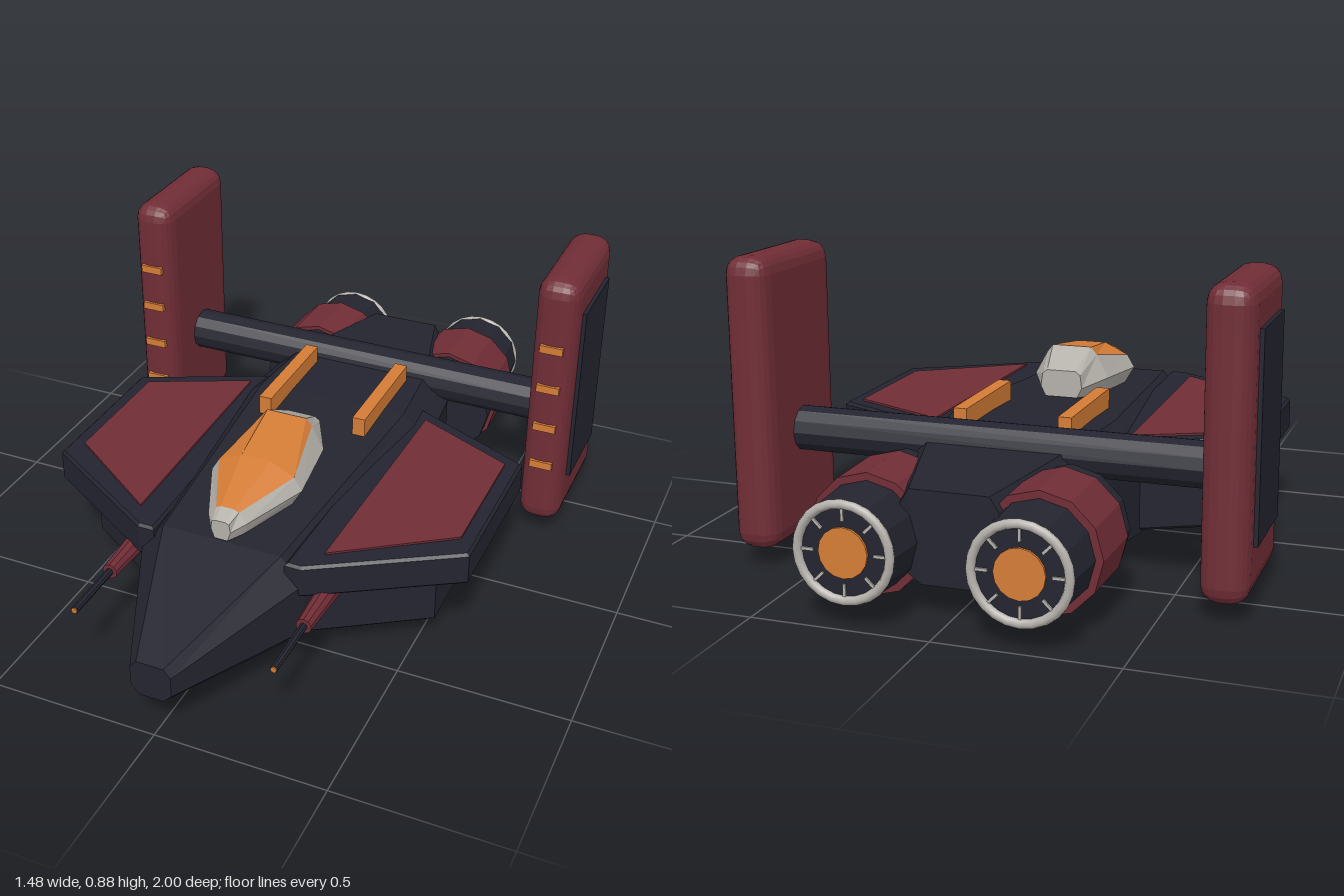
import * as THREE from 'three';
import { RoundedBoxGeometry } from 'three/addons/geometries/RoundedBoxGeometry.js';

const mat = (name, color) => Object.assign(new THREE.MeshStandardMaterial({ color }), { name });

// Faceted normals
function flat(g) {
  const f = g.index ? g.toNonIndexed() : g;
  f.computeVertexNormals();
  return f;
}

// Skin through mirrored cross-sections, front to back.
// Section: [z, [x, y] from bottom to top of the +x half]; pick(i, j) gives the material index.
function loft(sections, pick = () => 0) {
  const rings = sections.map(([z, half]) => [
    ...half.map(([x, y]) => [x, y, z]),
    ...[...half].reverse().map(([x, y]) => [-x, y, z]),
  ]);
  const n = rings[0].length, pos = [], g = new THREE.BufferGeometry();
  const add = (m, ...pts) => {
    g.addGroup(pos.length / 3, pts.length, m);
    pts.forEach((p) => pos.push(...p));
  };
  for (let i = 0; i < rings.length - 1; i++) {
    for (let j = 0; j < n; j++) {
      const k = (j + 1) % n;
      const a = rings[i][j], b = rings[i][k], c = rings[i + 1][k], d = rings[i + 1][j];
      add(pick(i, j), a, d, c, a, c, b);
    }
  }
  const first = rings[0], last = rings[rings.length - 1];
  for (let j = 1; j < n - 1; j++) {
    add(0, first[0], first[j], first[j + 1]);
    add(0, last[0], last[j + 1], last[j]);
  }
  g.setAttribute('position', new THREE.Float32BufferAttribute(pos, 3));
  g.computeVertexNormals();
  return g;
}

// Horizontal plate from an [x, z] outline, between two heights
function plate(outline, y0, y1, side, bevel = 0) {
  const shape = new THREE.Shape(outline.map(([x, z]) => new THREE.Vector2(x * side, -z)));
  const g = new THREE.ExtrudeGeometry(shape, {
    depth: y1 - y0 - 2 * bevel, bevelEnabled: bevel > 0,
    bevelSize: bevel, bevelOffset: -bevel, bevelThickness: bevel, bevelSegments: 1,
  });
  return g.rotateX(-Math.PI / 2).translate(0, y0 + bevel, 0);
}

// Faceted cylinder along z
function tubeZ(rFront, rBack, zFront, zBack, sides) {
  const g = new THREE.CylinderGeometry(rFront, rBack, zFront - zBack, sides);
  return flat(g.rotateX(Math.PI / 2).translate(0, 0, (zFront + zBack) / 2));
}

export function createModel() {
  const model = new THREE.Group();
  const dark = mat('dark hull', 0x23242f);
  const red = mat('dark red', 0x702d36);
  const orange = mat('orange', 0xd47c36);
  const grey = mat('light grey', 0xb4b0aa);

  const put = (parent, name, geometry, material, x = 0, y = 0, z = 0) => {
    const mesh = new THREE.Mesh(geometry, material);
    mesh.name = name;
    mesh.position.set(x, y, z);
    parent.add(mesh);
    return mesh;
  };

  // Faceted fuselage
  put(model, 'hull', loft([
    [1.0, [[0.035, 0.13], [0.06, 0.155], [0.06, 0.215], [0.04, 0.24]]],
    [0.58, [[0.18, 0.05], [0.25, 0.12], [0.25, 0.28], [0.18, 0.355]]],
    [-0.2, [[0.22, 0], [0.325, 0.06], [0.325, 0.31], [0.24, 0.385]]],
    [-0.45, [[0.2, 0.025], [0.3, 0.08], [0.3, 0.31], [0.22, 0.385]]],
    [-0.86, [[0.08, 0.09], [0.15, 0.14], [0.15, 0.28], [0.11, 0.345]]],
  ]), [dark]);

  // Canopy frame with glazed upper facets
  put(model, 'canopy', loft([
    [0.58, [[0.02, 0.36], [0.03, 0.39], [0.026, 0.415], [0.015, 0.42]]],
    [0.535, [[0.045, 0.36], [0.06, 0.4], [0.035, 0.43], [0.02, 0.437]]],
    [0.35, [[0.11, 0.36], [0.142, 0.415], [0.118, 0.455], [0.045, 0.49]]],
    [0.14, [[0.09, 0.37], [0.118, 0.425], [0.08, 0.495], [0.062, 0.518]]],
    [0.035, [[0.05, 0.38], [0.065, 0.41], [0.06, 0.45], [0.045, 0.462]]],
  ], (i, j) => (i > 0 && i < 3 && j > 1 && j < 5 ? 1 : 0)), [grey, orange]);

  // Beam carrying the fins
  const beam = new THREE.CylinderGeometry(0.065, 0.065, 1.24, 12).rotateZ(Math.PI / 2);
  put(model, 'crossBeam', flat(beam), dark, 0, 0.367, -0.485);

  for (const side of [1, -1]) {
    const half = new THREE.Group();
    half.name = side > 0 ? 'leftSide' : 'rightSide';
    model.add(half);

    // Wing: upper slab, lower block and painted panel
    put(half, 'wing', plate([[0.22, -0.31], [0.26, -0.31], [0.645, -0.13], [0.645, 0.36],
      [0.25, 0.6], [0.2, 0.6]], 0.25, 0.352, side, 0.008), dark);
    put(half, 'wingBlock', plate([[0.2, -0.25], [0.27, -0.25], [0.545, -0.11], [0.545, 0.33],
      [0.25, 0.52], [0.2, 0.52]], 0.07, 0.255, side, 0.008), dark);
    put(half, 'wingPanel', plate([[0.3, -0.24], [0.6, -0.1], [0.6, 0.3], [0.285, 0.52]],
      0.351, 0.358, side), red);

    // Spine rail
    put(half, 'spineRail', new THREE.BoxGeometry(0.04, 0.06, 0.36), orange, side * 0.155, 0.408, -0.22);

    // Cannon
    const cannon = new THREE.Group();
    cannon.name = 'cannon';
    cannon.position.set(side * 0.297, 0.235, 0);
    half.add(cannon);
    put(cannon, 'cannonMount', tubeZ(0.023, 0.035, 0.69, 0.45, 10), red);
    put(cannon, 'cannonBarrel', tubeZ(0.011, 0.011, 0.878, 0.68, 8), dark);
    put(cannon, 'cannonTip', tubeZ(0.009, 0.009, 0.882, 0.876, 8), orange);

    // Upright fin with outer panel and front strips
    const fin = new THREE.Group();
    fin.name = 'fin';
    fin.position.set(side * 0.665, 0, -0.483);
    half.add(fin);
    put(fin, 'finBody', flat(new RoundedBoxGeometry(0.13, 0.83, 0.412, 2, 0.05)), red, 0, 0.467, 0);
    put(fin, 'finPanel', new THREE.BoxGeometry(0.02, 0.565, 0.265), dark, side * 0.067, 0.483, 0);
    for (const y of [0.268, 0.401, 0.535, 0.668]) {
      put(fin, 'finStrip', new THREE.BoxGeometry(0.07, 0.024, 0.02), orange, 0, y, 0.204);
    }

    // Engine: body, band, exhaust ring, glowing core and vanes
    const engine = new THREE.Group();
    engine.name = 'engine';
    engine.position.set(side * 0.235, 0.202, 0);
    half.add(engine);
    put(engine, 'engineBody', tubeZ(0.163, 0.138, -0.585, -0.985, 12), dark);
    put(engine, 'engineBand', tubeZ(0.172, 0.168, -0.64, -0.842, 12), red);
    put(engine, 'exhaustRing', new THREE.TorusGeometry(0.128, 0.013, 8, 24), grey, 0, 0, -0.987);
    put(engine, 'exhaustCore', tubeZ(0.068, 0.068, -0.98, -0.992, 16), orange);
    for (let i = 0; i < 8; i++) {
      const a = (i * Math.PI) / 4;
      const vane = put(engine, 'exhaustVane', new THREE.BoxGeometry(0.034, 0.008, 0.008), grey,
        0.1 * Math.cos(a), 0.1 * Math.sin(a), -0.986);
      vane.rotation.z = a;
    }
  }
  return model;
}
